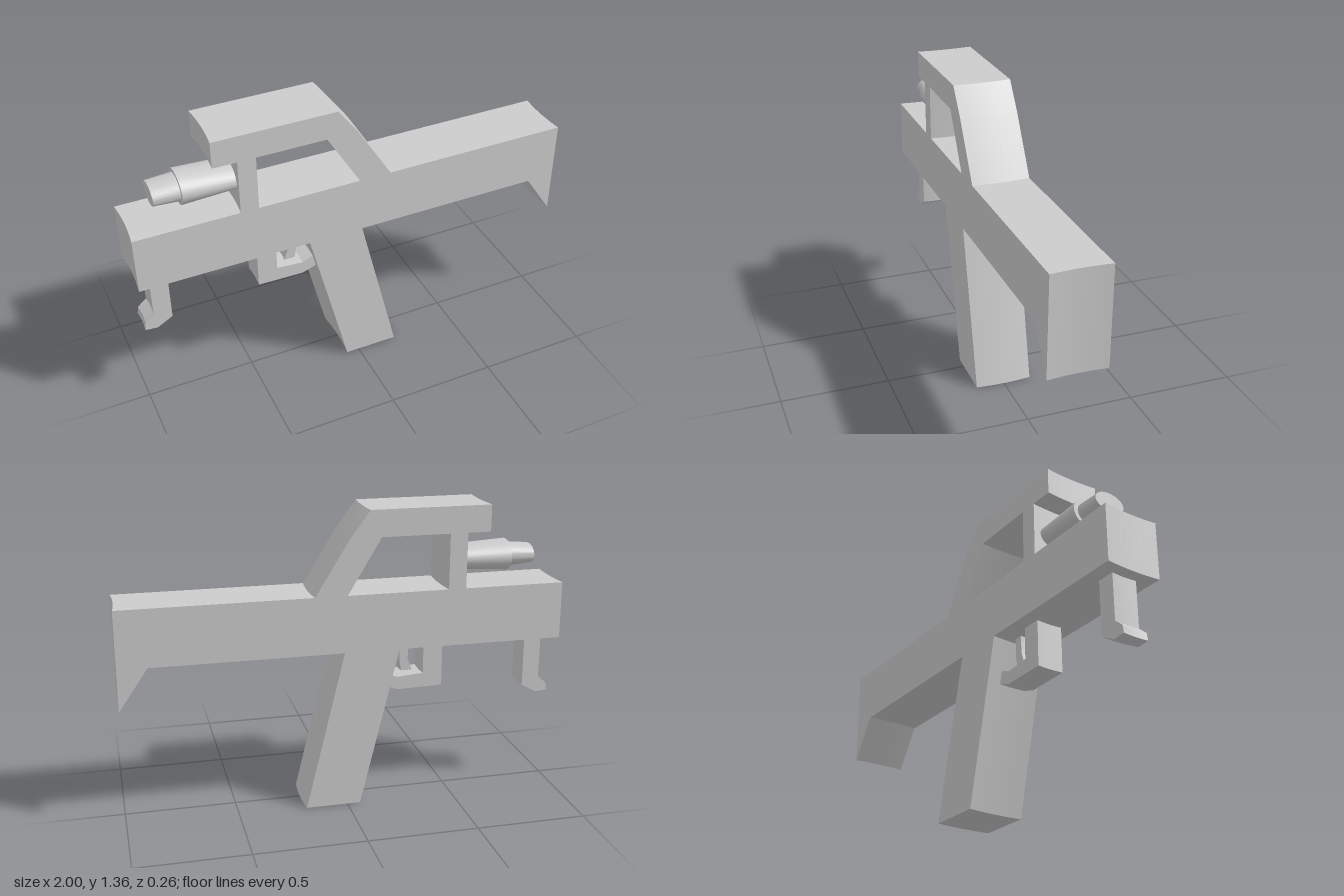
import * as THREE from 'three';
import { toCreasedNormals } from 'three/addons/utils/BufferGeometryUtils.js';

const material = new THREE.MeshStandardMaterial({ color: 0xcccccc });

// Side profile extruded across z, with its end faces very slightly bowed.
function slab(name, points, depth, bow = 0.008) {
  const shape = new THREE.Shape(points.map(([x, y]) => new THREE.Vector2(x, y)));
  const geometry = new THREE.ExtrudeGeometry(shape, { depth, steps: 8, bevelEnabled: false });
  geometry.translate(0, 0, -depth / 2);
  const p = geometry.attributes.position;
  for (let i = 0; i < p.count; i++) {
    const t = p.getZ(i) / (depth / 2);
    const side = p.getX(i) < 0.5 ? 1 : -1;
    p.setX(i, p.getX(i) + side * bow * (1 - t * t));
  }
  const mesh = new THREE.Mesh(toCreasedNormals(geometry, 0.35), material);
  mesh.name = name;
  return mesh;
}

// Oval tube along x, tapering in height only.
function ovalTube(name, x0, x1, h0, h1, halfWidth) {
  const geometry = new THREE.CylinderGeometry(1, 1, x1 - x0, 32);
  geometry.rotateZ(-Math.PI / 2);
  const p = geometry.attributes.position;
  for (let i = 0; i < p.count; i++) {
    p.setY(i, p.getY(i) * (p.getX(i) < 0 ? h0 : h1));
    p.setZ(i, p.getZ(i) * halfWidth);
  }
  const mesh = new THREE.Mesh(toCreasedNormals(geometry, 0.6), material);
  mesh.position.set((x0 + x1) / 2, 1.107, 0);
  mesh.name = name;
  return mesh;
}

export function createModel() {
  const model = new THREE.Group();
  model.name = 'blaster';
  const width = 0.26;

  model.add(
    // Long body with the pointed heel at its right end
    slab('body', [[-1, 0.73], [0.87, 0.73], [1, 0.54], [1, 0.99], [-1, 0.99]], width),
    // Carry handle with front pillar and sloping rear strut
    slab('carryHandle', [
      [-0.645, 1.36], [-0.645, 1.24], [-0.54, 1.24], [-0.54, 0.98], [-0.46, 0.98],
      [-0.46, 1.24], [-0.15, 1.24], [0.006, 0.98], [0.151, 0.98], [-0.01, 1.24], [-0.1, 1.36],
    ], width),
    // Slanted grip
    slab('grip', [[-0.24, 0.74], [-0.06, 0], [0.19, 0], [0.01, 0.74]], width),
    // Hooked front leg
    slab('frontLeg', [
      [-0.94, 0.74], [-0.94, 0.52], [-0.98, 0.485], [-0.985, 0.45], [-0.93, 0.445],
      [-0.86, 0.485], [-0.86, 0.74],
    ], 0.12, 0.004),
    // Trigger guard and trigger
    slab('triggerGuard', [
      [-0.46, 0.74], [-0.46, 0.52], [-0.25, 0.515], [-0.18, 0.54], [-0.19, 0.6],
      [-0.25, 0.575], [-0.37, 0.585], [-0.37, 0.74],
    ], 0.125, 0.004),
    slab('trigger', [
      [-0.305, 0.74], [-0.305, 0.65], [-0.325, 0.595], [-0.275, 0.595], [-0.265, 0.65], [-0.265, 0.74],
    ], 0.07, 0.004),
    // Two-stage sight tube
    ovalTube('sightTube', -0.765, -0.53, 0.07, 0.055, 0.094),
    ovalTube('sightTip', -0.88, -0.755, 0.044, 0.056, 0.074),
  );
  return model;
}
